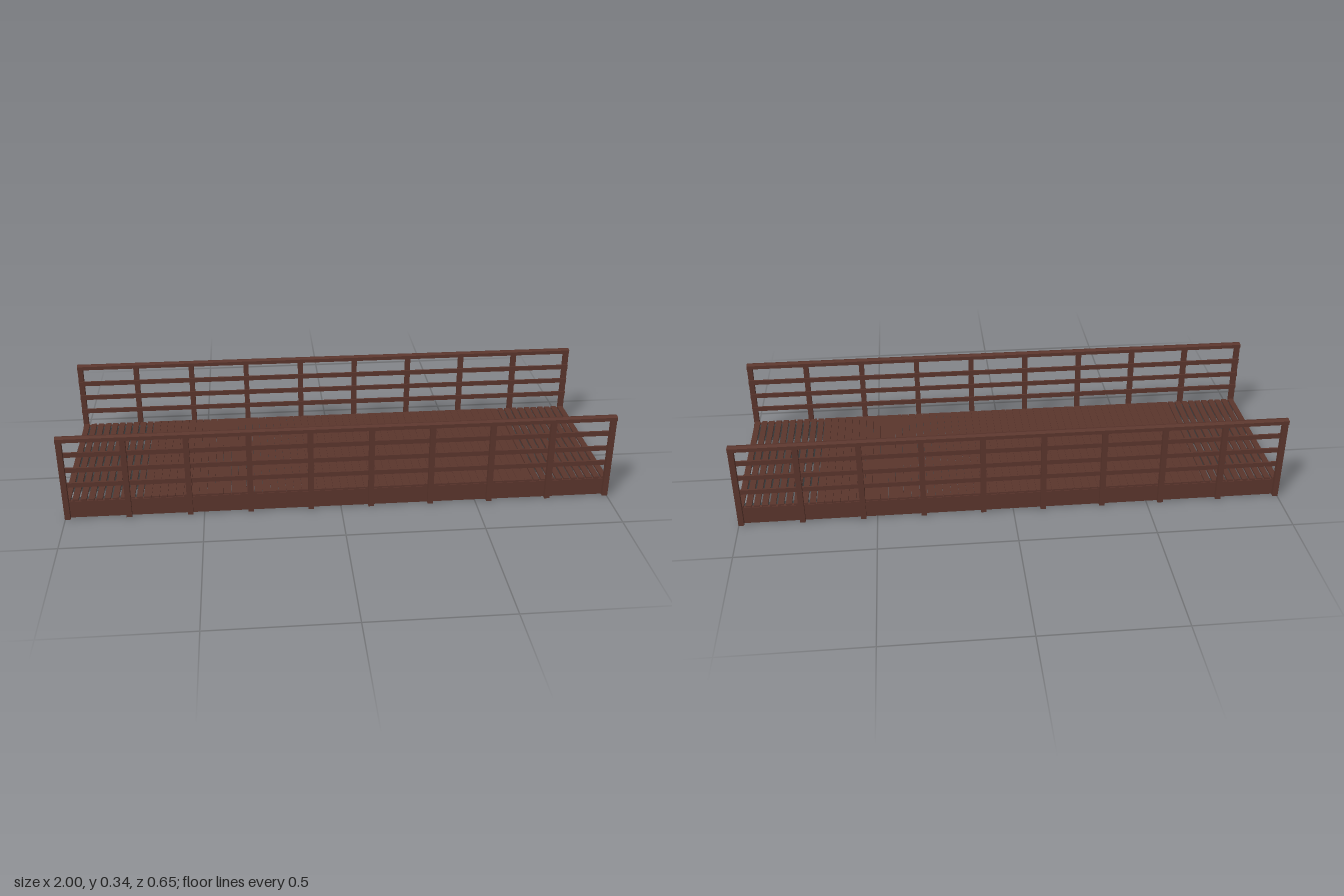
import * as THREE from 'three';

export function createModel() {
  const model = new THREE.Group();
  model.name = 'footbridge';
  const timber = new THREE.MeshStandardMaterial({ name: 'brown timber', color: 0x5a352c });
  const steel = new THREE.MeshStandardMaterial({ name: 'dark steel', color: 0x404040 });

  // Box given by its limits on each axis
  const box = (parent, name, mat, [x0, x1], [y0, y1], [z0, z1]) => {
    const mesh = new THREE.Mesh(new THREE.BoxGeometry(x1 - x0, y1 - y0, z1 - z0), mat);
    mesh.position.set((x0 + x1) / 2, (y0 + y1) / 2, (z0 + z1) / 2);
    mesh.name = name;
    parent.add(mesh);
    return mesh;
  };
  const group = (name) => {
    const g = new THREE.Group();
    g.name = name;
    model.add(g);
    return g;
  };
  // Limits on the z axis, mirrored for the back side
  const sideZ = (s, a, b) => (s > 0 ? [a, b] : [-b, -a]);

  // Deck planks: open gaps near both ends, tight joints between
  const deck = group('deck');
  const count = 70, pitch = 2 / count;
  for (let i = 0; i < count; i++) {
    const x = -1 + (i + 0.5) * pitch;
    const half = pitch / 2 - (Math.abs(x) > 0.7 ? 0.0035 : 0.0004);
    box(deck, 'plank', timber, [x - half, x + half], [0.07, 0.077], [-0.302, 0.302]);
  }

  // Lengthwise I-beams under the deck
  const beams = group('beams');
  for (const z of [-0.097, 0.097]) {
    box(beams, 'beamWeb', steel, [-1, 1], [0.002, 0.068], [z - 0.0015, z + 0.0015]);
    box(beams, 'beamBottomFlange', steel, [-1, 1], [0, 0.003], [z - 0.017, z + 0.017]);
    box(beams, 'beamTopFlange', steel, [-1, 1], [0.066, 0.07], [z - 0.017, z + 0.017]);
  }

  // Cross channels
  const crossBeams = group('crossBeams');
  for (let i = -3; i <= 3; i++) {
    const x = i * 0.286;
    box(crossBeams, 'crossWeb', steel, [x - 0.002, x + 0.002], [0.015, 0.054], [-0.288, 0.288]);
    for (const y of [0.015, 0.051])
      box(crossBeams, 'crossFlange', steel, [x, x + 0.02], [y, y + 0.003], [-0.288, 0.288]);
  }

  // Peaked handrail section, extruded along x
  const cap = new THREE.Shape([[-0.0135, 0.318], [0.0135, 0.318], [0.0135, 0.332], [0, 0.336], [-0.0135, 0.332]]
    .map(([z, y]) => new THREE.Vector2(z, y)));
  const capGeometry = new THREE.ExtrudeGeometry(cap, { depth: 2, bevelEnabled: false })
    .rotateY(Math.PI / 2).translate(-1, 0, 0);

  for (const s of [1, -1]) {
    // Side boards backed by a steel channel
    const edge = group(s > 0 ? 'frontEdge' : 'backEdge');
    box(edge, 'sideBoard', timber, [-1, 1], [0.004, 0.07], sideZ(s, 0.29, 0.304));
    box(edge, 'channelWeb', steel, [-0.999, 0.999], [0.004, 0.069], sideZ(s, 0.288, 0.29));
    for (const y of [0.004, 0.066])
      box(edge, 'channelFlange', steel, [-0.999, 0.999], [y, y + 0.003], sideZ(s, 0.272, 0.289));

    // Railing
    const railing = group(s > 0 ? 'frontRailing' : 'backRailing');
    for (let i = 0; i < 10; i++) {
      const x = -0.99 + i * 0.22;
      box(railing, 'post', timber, [x - 0.01, x + 0.01], [0.004, 0.32], sideZ(s, 0.302, 0.32));
    }
    for (const y of [0.137, 0.197, 0.258])
      box(railing, 'rail', timber, [-1, 1], [y - 0.009, y + 0.009], sideZ(s, 0.297, 0.304));
    const handrail = new THREE.Mesh(capGeometry, timber);
    handrail.name = 'handrail';
    handrail.position.z = s * 0.3115;
    railing.add(handrail);
  }
  return model;
}
